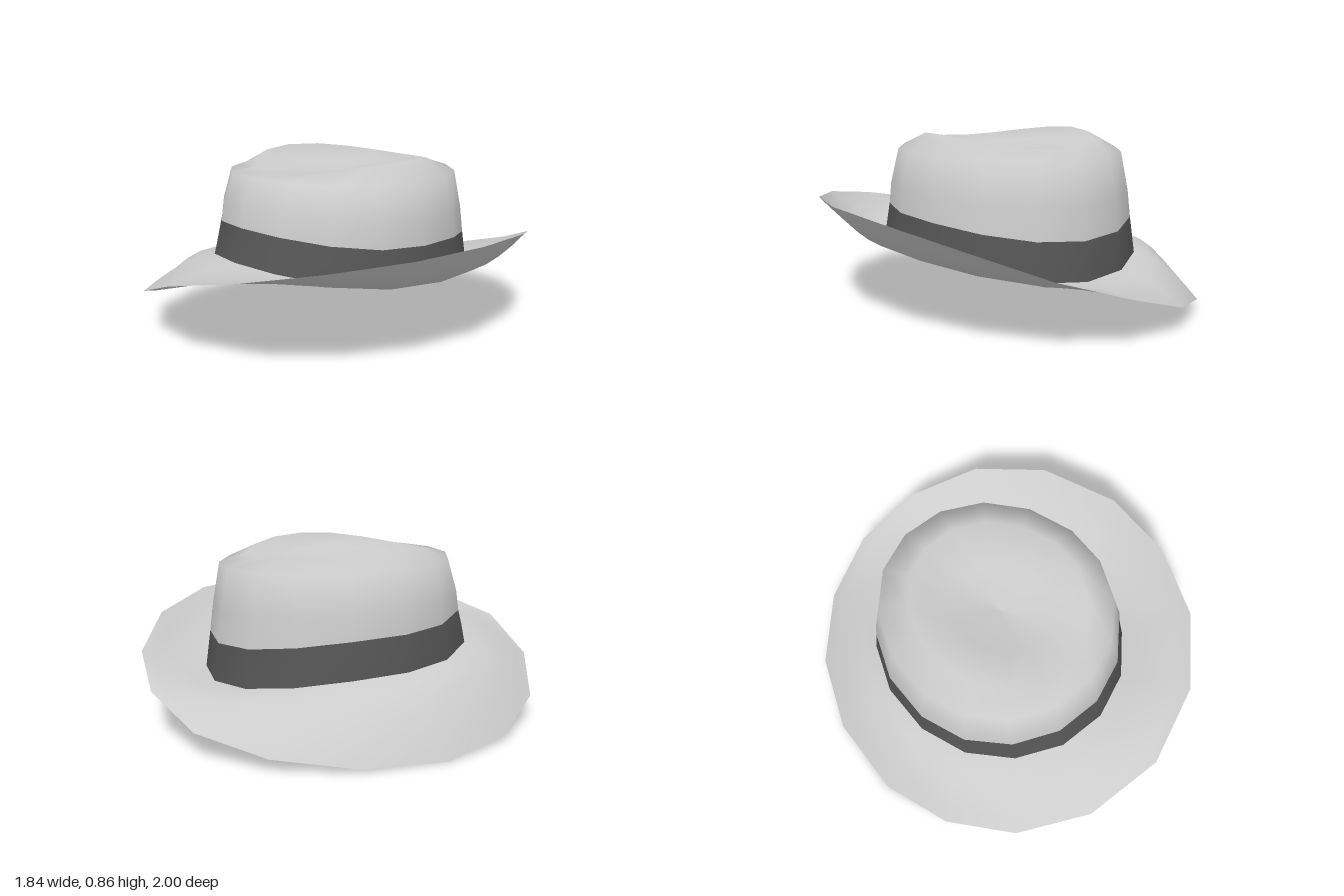
import * as THREE from 'three';

const SIDES = 16;

// Joins closed rings of points into one surface; groupOf(j) picks the material of each row.
function loft(rings, materials, groupOf = () => 0) {
  const positions = rings.flat().flatMap((p) => [p.x, p.y, p.z]);
  const index = [];
  const geometry = new THREE.BufferGeometry();
  for (let j = 0; j < rings.length - 1; j++) {
    geometry.addGroup(index.length, SIDES * 6, groupOf(j));
    for (let i = 0; i < SIDES; i++) {
      const k = (i + 1) % SIDES;
      const a = j * SIDES + i, b = j * SIDES + k;
      index.push(a, b, b + SIDES, a, b + SIDES, a + SIDES);
    }
  }
  geometry.setAttribute('position', new THREE.Float32BufferAttribute(positions, 3));
  geometry.setIndex(index);
  geometry.computeVertexNormals();
  return new THREE.Mesh(geometry, materials);
}

// Oval ring given its half width, front and back reach, and its height at side, front and back.
function oval([halfWidth, front, back, ySide, yFront, yBack]) {
  return Array.from({ length: SIDES }, (_, i) => {
    const a = (i / SIDES) * Math.PI * 2;
    const c = Math.cos(a);
    const end = c > 0 ? yFront : yBack;
    return new THREE.Vector3(
      halfWidth * Math.sin(a),
      ySide + (end - ySide) * c * c,
      c * (c > 0 ? front : back)
    );
  });
}

export function createModel() {
  const felt = new THREE.MeshStandardMaterial({ color: 0xcccccc, side: THREE.DoubleSide });
  felt.name = 'light grey felt';
  const ribbon = new THREE.MeshStandardMaterial({ color: 0x555555, side: THREE.DoubleSide });
  ribbon.name = 'dark grey ribbon';

  const hat = new THREE.Group();
  hat.name = 'hat';

  // Crown from the opening up over the ridge and down into the dent
  const base = [0.61, 0.65, 0.69, 0.32, 0.41, 0.23];
  const bandTop = [0.587, 0.605, 0.665, 0.49, 0.565, 0.41];
  const crownRings = [
    base,
    bandTop,
    [0.577, 0.59, 0.645, 0.6, 0.65, 0.56],
    [0.54, 0.54, 0.61, 0.77, 0.79, 0.76],
    [0.4, 0.43, 0.47, 0.855, 0.8, 0.8],
    [0.22, 0.25, 0.27, 0.8, 0.775, 0.775],
    [0, 0, 0, 0.765, 0.765, 0.765],
  ].map(oval);
  const crown = loft(crownRings.slice(1), felt);
  crown.material = felt;
  crown.name = 'crown';
  hat.add(crown);

  // Ribbon band around the foot of the crown
  const band = loft(crownRings.slice(0, 2), ribbon);
  band.name = 'hatBand';
  hat.add(band);

  // Brim edge from front to back: half width, z, height on the left (+x), height on the right
  const edge = [
    [0, 1, 0.37, 0.37], [0.38, 0.91, 0.45, 0.24], [0.68, 0.68, 0.51, 0.12],
    [0.86, 0.36, 0.54, 0.035], [0.92, 0, 0.55, 0], [0.84, -0.4, 0.525, 0.02],
    [0.64, -0.72, 0.45, 0.06], [0.34, -0.93, 0.33, 0.12], [0, -1, 0.225, 0.225],
  ];
  const rim = Array.from({ length: SIDES }, (_, i) => {
    const left = i <= SIDES / 2;
    const [x, z, yLeft, yRight] = edge[left ? i : SIDES - i];
    return new THREE.Vector3(left ? x : -x, left ? yLeft : yRight, z);
  });

  // Brim leaves the crown nearly level, then sweeps up on one side and down on the other
  const brimRings = [1, 0.82, 0.64, 0.45, 0.25, 0].map((t) =>
    crownRings[0].map((p, i) => {
      const q = p.clone().lerp(rim[i], t);
      q.y = p.y + (rim[i].y - p.y) * Math.pow(t, 1.75);
      return q;
    })
  );
  const brim = loft(brimRings, felt);
  brim.name = 'brim';
  hat.add(brim);

  return hat;
}
